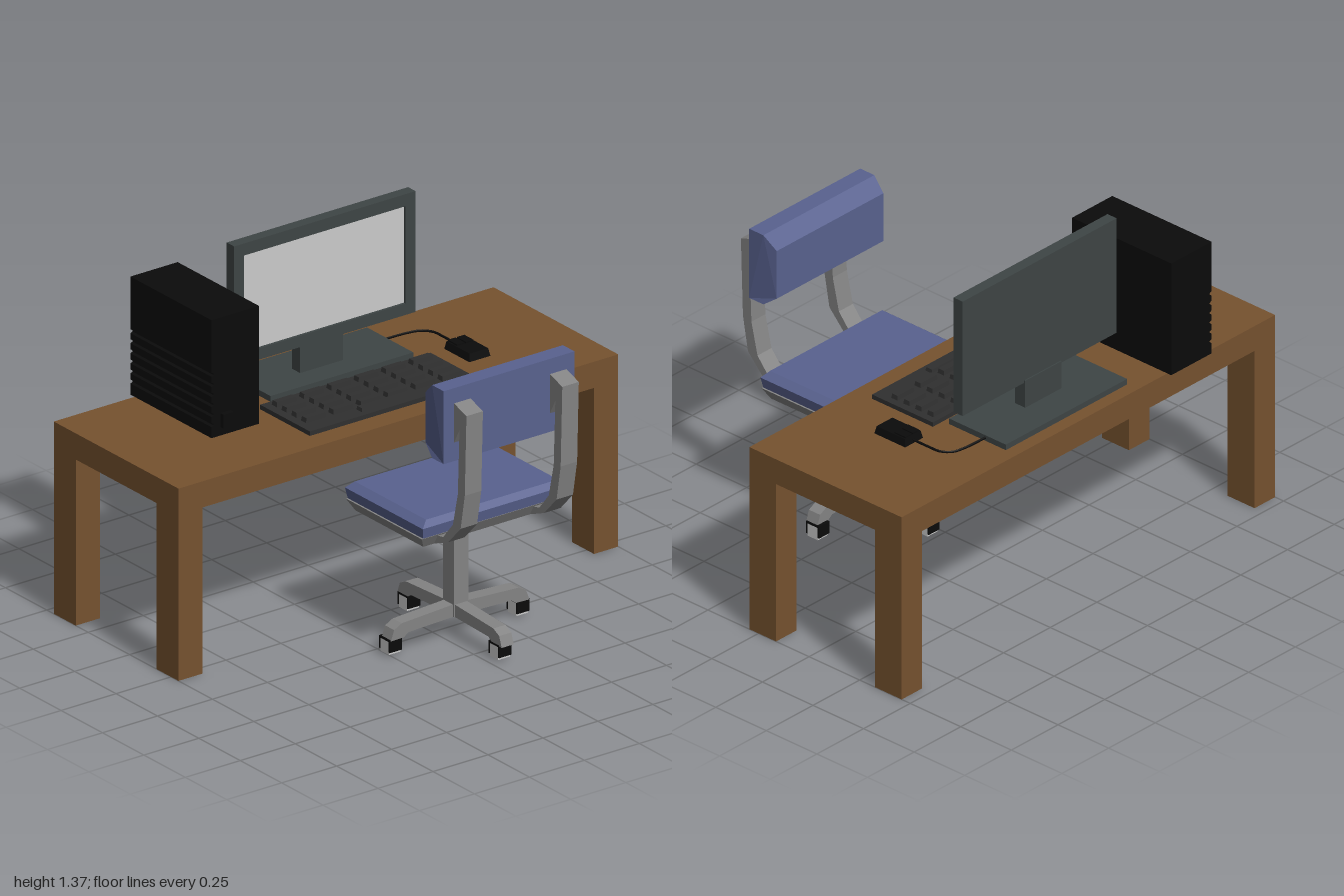
import * as THREE from 'three';

const mat = (color) => new THREE.MeshStandardMaterial({ color, flatShading: true });
const wood = mat(0x76522f), black = mat(0x0b0b0b), keyGrey = mat(0x303030), plastic = mat(0x3e4545);
const blue = mat(0x59628f), metal = mat(0x848484), grey = mat(0xcccccc);

function add(parent, name, geometry, material, x = 0, y = 0, z = 0) {
  const mesh = new THREE.Mesh(geometry, material);
  mesh.name = name;
  mesh.position.set(x, y, z);
  parent.add(mesh);
  return mesh;
}

// Box given by its limits on each axis
function box(parent, name, material, [x0, x1], [y0, y1], [z0, z1]) {
  return add(parent, name, new THREE.BoxGeometry(x1 - x0, y1 - y0, z1 - z0), material,
    (x0 + x1) / 2, (y0 + y1) / 2, (z0 + z1) / 2);
}

// Outline in x,y extruded symmetrically along z
function prism(points, depth, holes = []) {
  const toVec = (list) => list.map(([x, y]) => new THREE.Vector2(x, y));
  const shape = new THREE.Shape(toVec(points));
  for (const h of holes) shape.holes.push(new THREE.Path(toVec(h)));
  return new THREE.ExtrudeGeometry(shape, { depth, bevelEnabled: false }).translate(0, 0, -depth / 2);
}

// Box whose top is inset or widened relative to the bottom
function taperedBox(w, h, d, topW, topD) {
  const g = new THREE.BoxGeometry(w, h, d);
  const p = g.attributes.position;
  for (let i = 0; i < p.count; i++) {
    if (p.getY(i) > 0) p.setXYZ(i, p.getX(i) * topW / w, p.getY(i), p.getZ(i) * topD / d);
  }
  g.computeVertexNormals();
  return g;
}

const rect = (x0, x1, y0, y1) => [[x0, y0], [x1, y0], [x1, y1], [x0, y1]];

function createDesk() {
  const desk = new THREE.Group();
  desk.name = 'desk';
  box(desk, 'deskTop', wood, [-0.708, 0.045], [0.66, 0.764], [-1, 1]);
  for (const x of [[-0.708, -0.575], [-0.087, 0.045]])
    for (const z of [[-1, -0.89], [0.89, 1]]) box(desk, 'deskLeg', wood, x, [0, 0.66], z);
  return desk;
}

function createTower() {
  const tower = new THREE.Group();
  tower.name = 'computerTower';
  // Side outline with vent grooves, run along x
  const outline = [[0.42, 0.766], [0.635, 0.766]];
  for (let i = 0; i < 6; i++) {
    const y = 0.81 + i * 0.04;
    outline.push([0.635, y], [0.625, y + 0.004], [0.625, y + 0.012], [0.635, y + 0.016]);
  }
  outline.push([0.635, 1.235], [0.42, 1.235]);
  add(tower, 'towerCase', prism(outline, 0.49), black, -0.485).rotation.y = -Math.PI / 2;
  box(tower, 'towerButton', black, [-0.24, -0.22], [0.8, 0.855], [0.55, 0.595]);
  return tower;
}

function createMonitor() {
  const monitor = new THREE.Group();
  monitor.name = 'monitor';
  box(monitor, 'monitorBase', plastic, [-0.655, -0.375], [0.764, 0.787], [-0.385, 0.265]);
  box(monitor, 'monitorNeck', plastic, [-0.525, -0.475], [0.787, 0.9], [-0.14, 0.055]);
  box(monitor, 'monitorBack', plastic, [-0.52, -0.49], [0.89, 1.37], [-0.47, 0.355]);
  const bezel = prism(rect(-0.47, 0.355, 0.89, 1.37), 0.015, [rect(-0.425, 0.31, 0.935, 1.322)]);
  add(monitor, 'bezel', bezel, plastic, -0.4825).rotation.y = -Math.PI / 2;
  box(monitor, 'screen', grey, [-0.492, -0.486], [0.935, 1.322], [-0.425, 0.31]);
  return monitor;
}

function createKeyboard() {
  const keyboard = new THREE.Group();
  keyboard.name = 'keyboard';
  box(keyboard, 'keyboardBody', keyGrey, [-0.345, -0.045], [0.764, 0.782], [-0.44, 0.335]);
  for (let c = 0; c < 4; c++)
    for (let r = 0; r < 6; r++)
      add(keyboard, 'key', taperedBox(0.032, 0.02, 0.092, 0.026, 0.086), keyGrey,
        -0.305 + c * 0.059, 0.79, -0.365 + r * 0.124);
  add(keyboard, 'spaceBar', taperedBox(0.034, 0.016, 0.262, 0.028, 0.256), keyGrey, -0.085, 0.788, -0.05);
  return keyboard;
}

function createMouse() {
  const mouse = new THREE.Group();
  mouse.name = 'mouse';
  add(mouse, 'mouseBody', taperedBox(0.152, 0.03, 0.096, 0.14, 0.084), black, -0.298, 0.78, -0.572);
  for (const z of [-0.592, -0.552])
    add(mouse, 'mouseButton', new THREE.BoxGeometry(0.055, 0.008, 0.034), black, -0.338, 0.797, z);
  const path = new THREE.CatmullRomCurve3([
    [-0.37, -0.572], [-0.44, -0.572], [-0.5, -0.568], [-0.535, -0.54], [-0.548, -0.49], [-0.553, -0.38],
  ].map(([x, z]) => new THREE.Vector3(x, 0.776, z)));
  add(mouse, 'mouseCable', new THREE.TubeGeometry(path, 24, 0.005, 6), black);
  return mouse;
}

function createChair() {
  const chair = new THREE.Group();
  chair.name = 'chair';
  const cx = 0.32, cz = -0.053;

  // Seat pan and cushion
  add(chair, 'seatPan', taperedBox(0.41, 0.045, 0.61, 0.46, 0.66), metal, cx + 0.005, 0.5275, cz);
  add(chair, 'seatCushion', taperedBox(0.455, 0.042, 0.645, 0.47, 0.66), blue, cx + 0.005, 0.571, cz);
  add(chair, 'seatCushionTop', taperedBox(0.47, 0.023, 0.66, 0.43, 0.6), blue, cx + 0.005, 0.6035, cz);

  // Backrest, narrowing slightly toward the sitter
  const back = prism([[0.65, 0.875], [0.65, 1.165], [0.58, 1.165], [0.525, 1.115], [0.525, 0.915], [0.58, 0.875]], 0.595);
  const p = back.attributes.position;
  for (let i = 0; i < p.count; i++) if (p.getX(i) < 0.55) p.setZ(i, p.getZ(i) * 0.96);
  back.computeVertexNormals();
  add(chair, 'backrest', back, blue, 0, 0, -0.048);

  // Bent supports joining seat and backrest
  const support = prism([
    [0.53, 0.505], [0.615, 0.54], [0.69, 0.62], [0.715, 0.76], [0.725, 1.08], [0.648, 1.105],
    [0.648, 0.945], [0.683, 1.01], [0.673, 0.75], [0.643, 0.62], [0.585, 0.55], [0.53, 0.54],
  ], 0.075);
  for (const side of [-1, 1]) add(chair, 'backSupport', support, metal, 0, 0, cz + side * 0.218);

  // Column and four-armed foot with casters
  box(chair, 'column', metal, [cx - 0.033, cx + 0.033], [0.09, 0.507], [cz - 0.033, cz + 0.033]);
  const arm = prism([[0, 0.09], [0.235, 0.083], [0.255, 0.068], [0.315, 0.066], [0.3, 0.108], [0.265, 0.126], [0, 0.14]], 0.055);
  for (let i = 0; i < 4; i++) {
    const a = i * Math.PI / 2;
    const foot = new THREE.Group();
    foot.name = 'footArm';
    foot.position.set(cx, 0, cz);
    foot.rotation.y = a;
    add(foot, 'arm', arm, metal);
    chair.add(foot);

    // Casters all point the same way
    const caster = new THREE.Group();
    caster.name = 'caster';
    caster.position.set(cx - 0.007 + Math.cos(a) * 0.275, 0, cz - Math.sin(a) * 0.29);
    box(caster, 'casterWheel', grey, [-0.025, 0.025], [0.01, 0.062], [-0.027, 0.027]);
    box(caster, 'casterTop', black, [-0.032, 0.032], [0.062, 0.07], [-0.028, 0.028]);
    for (const s of [-1, 1])
      add(caster, 'casterFork', new THREE.BoxGeometry(0.007, 0.045, 0.056), black, s * 0.0285, 0.0425, 0);
    chair.add(caster);
  }
  return chair;
}

export function createModel() {
  const model = new THREE.Group();
  model.name = 'computerWorkstation';
  model.add(createDesk(), createTower(), createMonitor(), createKeyboard(), createMouse(), createChair());
  return model;
}
